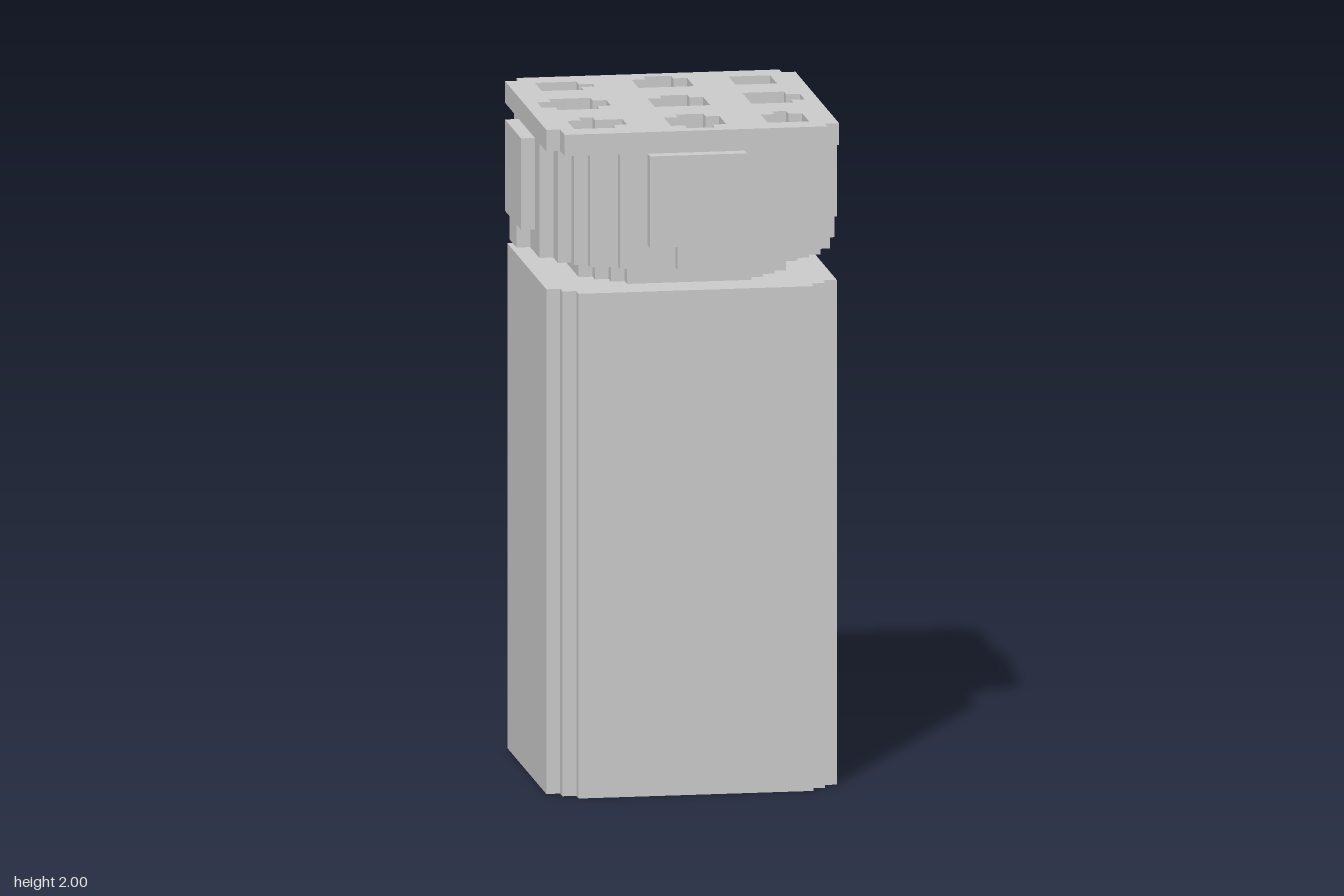
import * as THREE from 'three';

const U = 0.0414; // one grid step
const material = new THREE.MeshStandardMaterial({ color: 0xcccccc, flatShading: true });

// Plan coordinates are grid steps: x to the right, y towards the back (-z)
const toPoints = (pts) => pts.map(([x, y]) => new THREE.Vector2(x * U, y * U));

function slab(name, outline, y0, y1, holes = []) {
  const shape = new THREE.Shape(toPoints(outline));
  for (const h of holes) shape.holes.push(new THREE.Path(toPoints(h)));
  const geo = new THREE.ExtrudeGeometry(shape, { depth: y1 - y0, bevelEnabled: false });
  geo.rotateX(-Math.PI / 2).translate(0, y0, 0);
  const mesh = new THREE.Mesh(geo, material);
  mesh.name = name;
  return mesh;
}

// Square outline with a stepped profile at each corner; special = { quadrant: profile }
function steppedSquare(profile, special = {}) {
  const signs = [[1, 1], [-1, 1], [-1, -1], [1, -1]];
  return signs.flatMap(([sx, sy], i) => {
    const pts = (special[i] || profile).map(([x, y]) => [x * sx, y * sy]);
    return i % 2 ? pts.reverse() : pts;
  });
}

const rect = ([x0, x1, z0, z1]) => [[x0, -z0], [x0, -z1], [x1, -z1], [x1, -z0]];

// Hole outline: a rectangle with one-step arms to the north, east, south or west
function armedHole({ core: [x0, x1, z0, z1], n, e, s, w }) {
  const p = [[x0, z0]];
  if (n) p.push([n[0], z0], [n[0], z0 - 1], [n[1], z0 - 1], [n[1], z0]);
  p.push([x1, z0]);
  if (e) p.push([x1, e[0]], [x1 + 1, e[0]], [x1 + 1, e[1]], [x1, e[1]]);
  p.push([x1, z1]);
  if (s) p.push([s[1], z1], [s[1], z1 + 1], [s[0], z1 + 1], [s[0], z1]);
  p.push([x0, z1]);
  if (w) p.push([x0, w[1]], [x0 - 1, w[1]], [x0 - 1, w[0]], [x0, w[0]]);
  return p
    .filter(([x, z], i) => i === 0 || x !== p[i - 1][0] || z !== p[i - 1][1])
    .map(([x, z]) => [x, -z]);
}

// Pouring holes: opening in the lid plus a deeper well
const HOLES = [
  { core: [-8.5, -5.5, -8.5, -5.5], e: [-7.5, -6.5], well: [-7.5, -5.5, -7.5, -6.5] },
  { core: [-1.5, 2.5, -8.5, -5.5], n: [-0.5, 1.5], well: [-0.5, 1.5, -8.5, -6.5] },
  { core: [5.5, 8.5, -8.5, -5.5], well: [6.5, 7.5, -8.5, -5.5] },
  { core: [-8.5, -5.5, -2.5, 1.5], e: [-1.5, 0.5], w: [-1.5, 0.5], well: [-7.5, -5.5, -1.5, 0.5] },
  { core: [-1.5, 2.5, -1.5, 1.5], n: [-0.5, 1.5], well: [-0.5, 1.5, -1.5, 0.5] },
  { core: [5.5, 8.5, -2.5, 1.5], e: [-1.5, 0.5], well: [6.5, 8.5, -1.5, 0.5] },
  { core: [-8.5, -5.5, 5.5, 8.5], n: [-7.5, -6.5], e: [5.5, 7.5], well: [-7.5, -6.5, 5.5, 7.5] },
  { core: [-1.5, 2.5, 5.5, 8.5], n: [-0.5, 1.5], s: [-0.5, 1.5], well: [-0.5, 1.5, 5.5, 7.5] },
  { core: [5.5, 8.5, 5.5, 8.5], n: [6.5, 7.5], well: [6.5, 7.5, 5.5, 8.5] },
];

// Raised panel with a narrow foot, standing on one side of the cap
function gripPanel(name, halfWidth, angle) {
  const y = [1.59, 1.66, 1.935], w = halfWidth * U, f = 1.5 * U;
  const shape = new THREE.Shape([
    [-f, y[0]], [f, y[0]], [f, y[1]], [w, y[1]], [w, y[2]], [-w, y[2]], [-w, y[1]], [-f, y[1]],
  ].map(([a, b]) => new THREE.Vector2(a, b)));
  const geo = new THREE.ExtrudeGeometry(shape, { depth: U, bevelEnabled: false });
  geo.translate(0, 0, 10.5 * U).rotateY(angle);
  const mesh = new THREE.Mesh(geo, material);
  mesh.name = name;
  return mesh;
}

export function createModel() {
  const model = new THREE.Group();
  model.name = 'shaker';

  // Body and neck
  const body = steppedSquare([[10.5, 8.5], [9.5, 8.5], [9.5, 9.5], [8.5, 9.5], [8.5, 10.5]]);
  model.add(slab('body', body, 0, 1.52));
  const neck = steppedSquare([
    [7.5, 4.5], [6.5, 4.5], [6.5, 5.5], [5.5, 5.5], [5.5, 6.5], [4.5, 6.5], [4.5, 7.5],
  ]);
  model.add(slab('neck', neck, 1.52, 1.59));

  // Cap wall, with two notches under the back corner
  const cap = new THREE.Group();
  cap.name = 'cap';
  const corner = [
    [10.5, 5.5], [9.5, 5.5], [9.5, 7.5], [8.5, 7.5], [8.5, 8.5],
    [7.5, 8.5], [7.5, 9.5], [5.5, 9.5], [5.5, 10.5],
  ];
  const notched = [
    [10.5, 5.5], [9.5, 5.5], [9.5, 6.5], [8.5, 6.5], [8.5, 8.5],
    [6.5, 8.5], [6.5, 9.5], [5.5, 9.5], [5.5, 10.5],
  ];
  cap.add(slab('capRim', steppedSquare(corner, { 0: notched }), 1.59, 1.66));
  cap.add(slab('capWall', steppedSquare(corner), 1.66, 1.935, HOLES.map((h) => rect(h.well))));
  for (const h of HOLES) cap.add(slab('wellFloor', rect(h.well), 1.66, 1.87));

  // Lid plate with the openings
  const lid = steppedSquare([[10.5, 9.5], [9.5, 9.5], [9.5, 10.5]], {
    2: [[10.5, 8.5], [9.5, 8.5], [9.5, 10.5]],
  });
  cap.add(slab('lidPlate', lid, 1.935, 2, HOLES.map(armedHole)));

  // Grip panels: wide on front and left-hand face, narrow on the others
  [['frontPanel', 3.5], ['leftPanel', 2.5], ['backPanel', 2.5], ['rightPanel', 3.5]]
    .forEach(([name, half], i) => cap.add(gripPanel(name, half, i * Math.PI / 2)));

  model.add(cap);
  return model;
}
